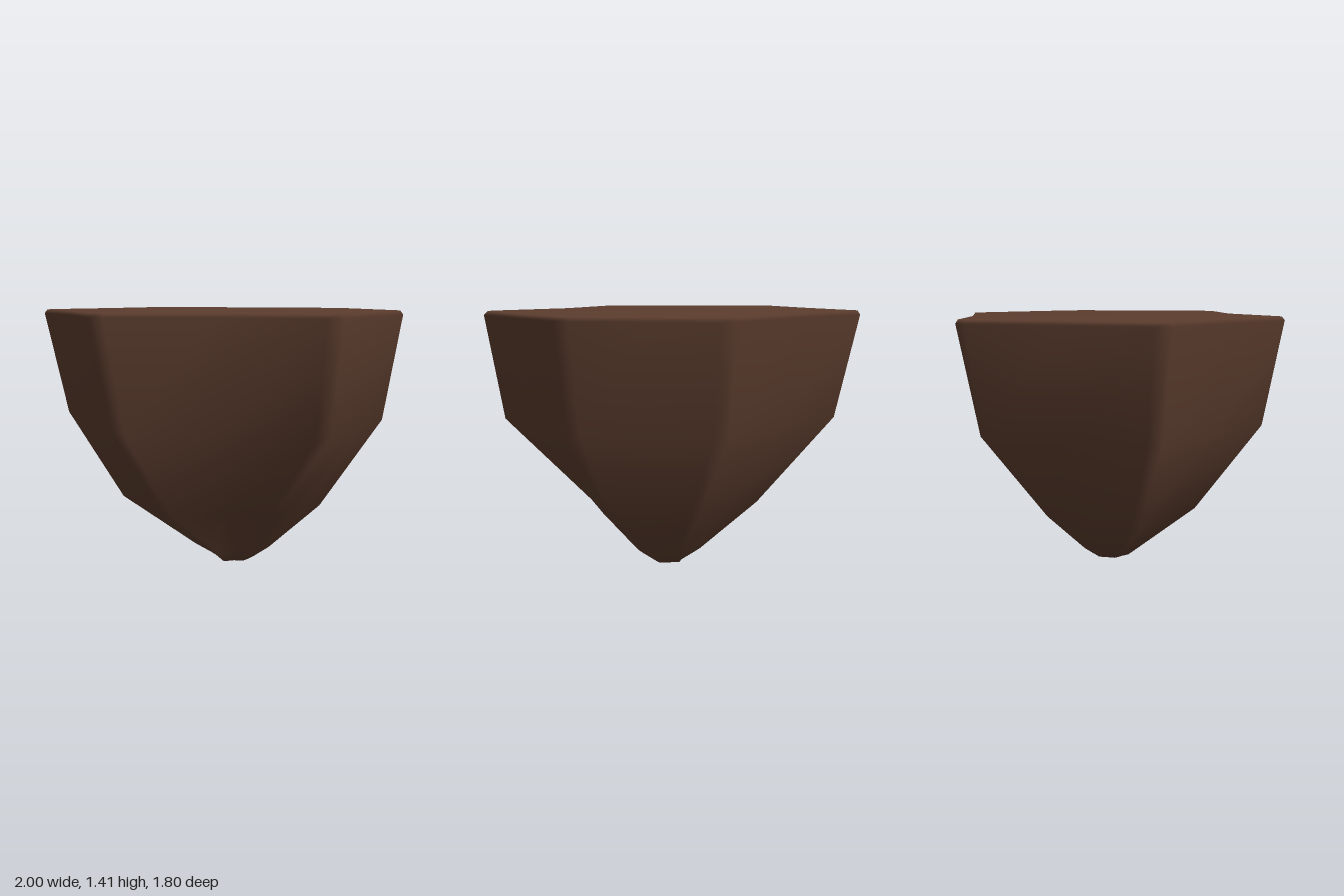
import * as THREE from 'three';

// Six ridges (x, z) at each height, running from +x towards +z
const LEVELS = [
  { y: 1.41, s: 0.9, p: [[0.98, 0.09], [0.585, 0.865], [-0.515, 0.78], [-0.98, -0.085], [-0.405, -0.88], [0.685, -0.62]] },
  { y: 1.39, s: 1, p: [[0.995, 0.09], [0.595, 0.88], [-0.52, 0.795], [-0.995, -0.085], [-0.41, -0.892], [0.7, -0.63]] },
  { y: 0.825, s: 0.88, p: [[0.9, 0.1], [0.55, 0.8], [-0.43, 0.73], [-0.87, -0.07], [-0.36, -0.78], [0.6, -0.54]] },
  { y: 0.33, s: 0.5, p: [[0.575, 0.08], [0.33, 0.35], [-0.22, 0.435], [-0.56, -0.05], [-0.17, -0.405], [0.4, -0.28]] },
  { y: 0.065, s: 0.22, p: [[0.29, 0.04], [0.22, 0.16], [0, 0.2], [-0.13, 0.01], [0.03, -0.14], [0.19, -0.09]] },
  { y: 0, s: 0.1, p: [[0.2, 0.03], [0.15, 0.11], [0.04, 0.13], [0, 0.03], [0.05, -0.05], [0.14, -0.06]] },
];
// Bulge (+) or dent (-) halfway between each ridge and the next
const BULGE = [0.04, -0.085, 0, 0, -0.02, 0.02];
const BEVEL = 0.045;

// Ring outline: every ridge becomes two bevel points, followed by a midpoint
function outline({ s, p }) {
  const v = p.map(([x, z]) => new THREE.Vector2(x, z));
  const n = v.length;
  const points = [];
  v.forEach((c, i) => {
    const next = v[(i + 1) % n];
    const prev = v[(i + n - 1) % n];
    const t = next.clone().sub(prev).setLength(BEVEL * s);
    const side = next.clone().sub(c).normalize();
    const out = new THREE.Vector2(side.y, -side.x).multiplyScalar(BULGE[i] * s);
    points.push(c.clone().sub(t), c.clone().add(t), c.clone().add(next).multiplyScalar(0.5).add(out));
  });
  return points;
}

function rockGeometry() {
  const positions = [];
  const index = [];
  LEVELS.forEach((level) => outline(level).forEach((q) => positions.push(q.x, level.y, q.y)));
  const n = LEVELS[0].p.length * 3;
  const last = (LEVELS.length - 1) * n;
  const top = LEVELS.length * n;
  positions.push(0, 1.41, 0, 0.1, 0, 0.035);
  for (let j = 0; j < n; j++) {
    const k = (j + 1) % n;
    for (let i = 0; i < last; i += n) {
      index.push(i + n + j, i + j, i + n + k, i + j, i + k, i + n + k);
    }
    index.push(top, k, j, top + 1, last + j, last + k);
  }
  const geometry = new THREE.BufferGeometry();
  geometry.setAttribute('position', new THREE.Float32BufferAttribute(positions, 3));
  geometry.setIndex(index);
  geometry.computeVertexNormals();
  return geometry;
}

export function createModel() {
  const group = new THREE.Group();
  group.name = 'taperedRock';
  const earthBrown = new THREE.MeshStandardMaterial({ color: 0x5c3d2e });
  earthBrown.name = 'earthBrown';
  const rock = new THREE.Mesh(rockGeometry(), earthBrown);
  rock.name = 'rockBody';
  group.add(rock);
  return group;
}
